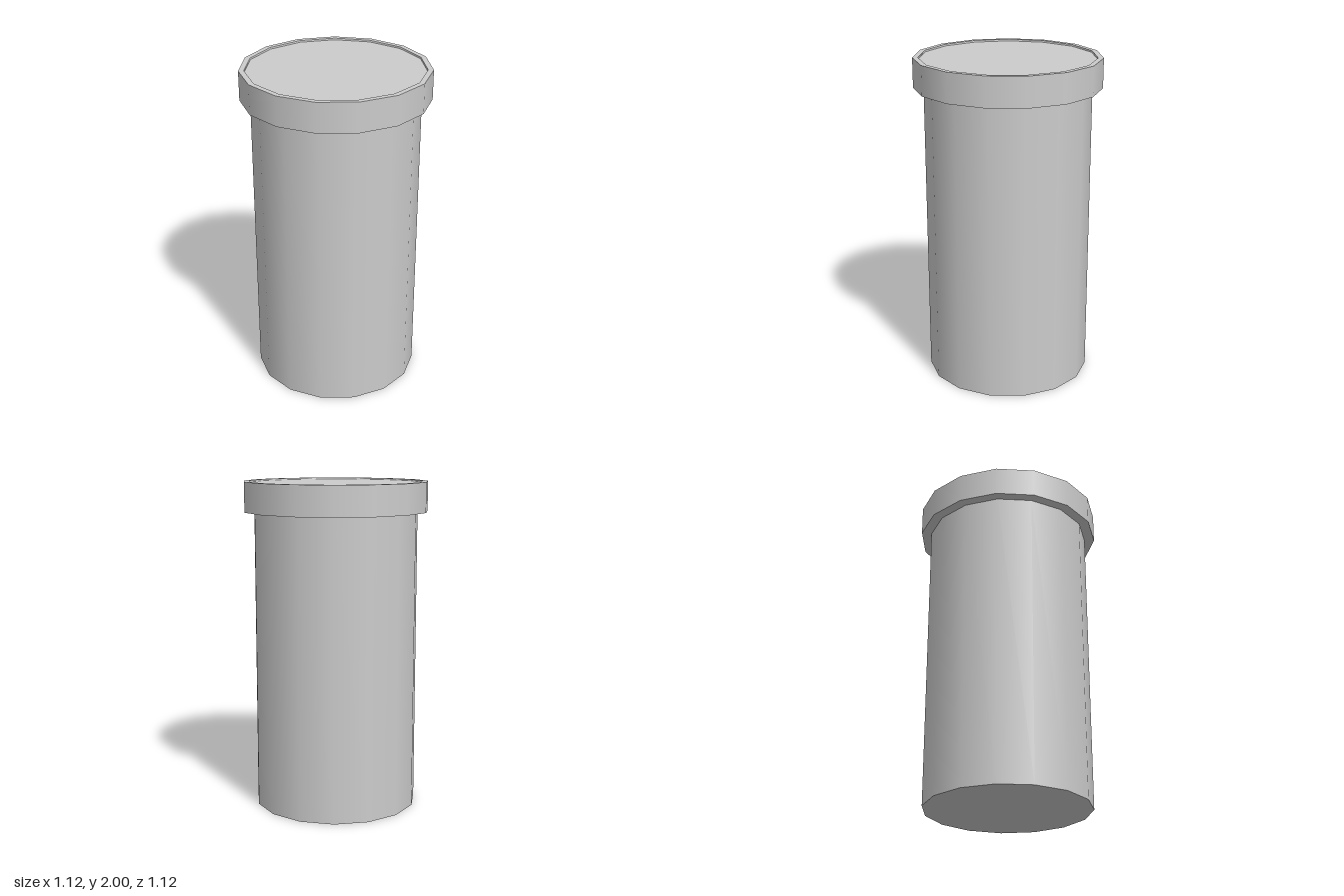
import * as THREE from 'three';
import { mergeGeometries } from 'three/addons/utils/BufferGeometryUtils.js';

const SIDES = 15;

// Revolves each profile segment on its own: smooth around, sharp between segments
function turned(name, profile) {
  const bands = [];
  for (let i = 0; i < profile.length - 1; i++) {
    const points = [profile[i], profile[i + 1]].map(([r, y]) => new THREE.Vector2(r, y));
    bands.push(new THREE.LatheGeometry(points, SIDES, Math.PI / 2));
  }
  const material = new THREE.MeshStandardMaterial({ color: 0xcccccc });
  const mesh = new THREE.Mesh(mergeGeometries(bands), material);
  mesh.name = name;
  return mesh;
}

export function createModel() {
  const group = new THREE.Group();
  group.name = 'liddedCanister';

  // Body: closed base and straight wall
  group.add(turned('body', [[0, 0], [0.503, 0], [0.503, 1.82]]));

  // Lid: overhanging band, narrow rim and shallow recessed top
  group.add(turned('lid', [
    [0.503, 1.82], [0.565, 1.82], [0.565, 2], [0.532, 2], [0.53, 1.99], [0, 1.99],
  ]));

  // An odd number of sides reaches further on +x, so shift to centre
  group.position.x = -0.006;
  const root = new THREE.Group();
  root.add(group);
  return root;
}
